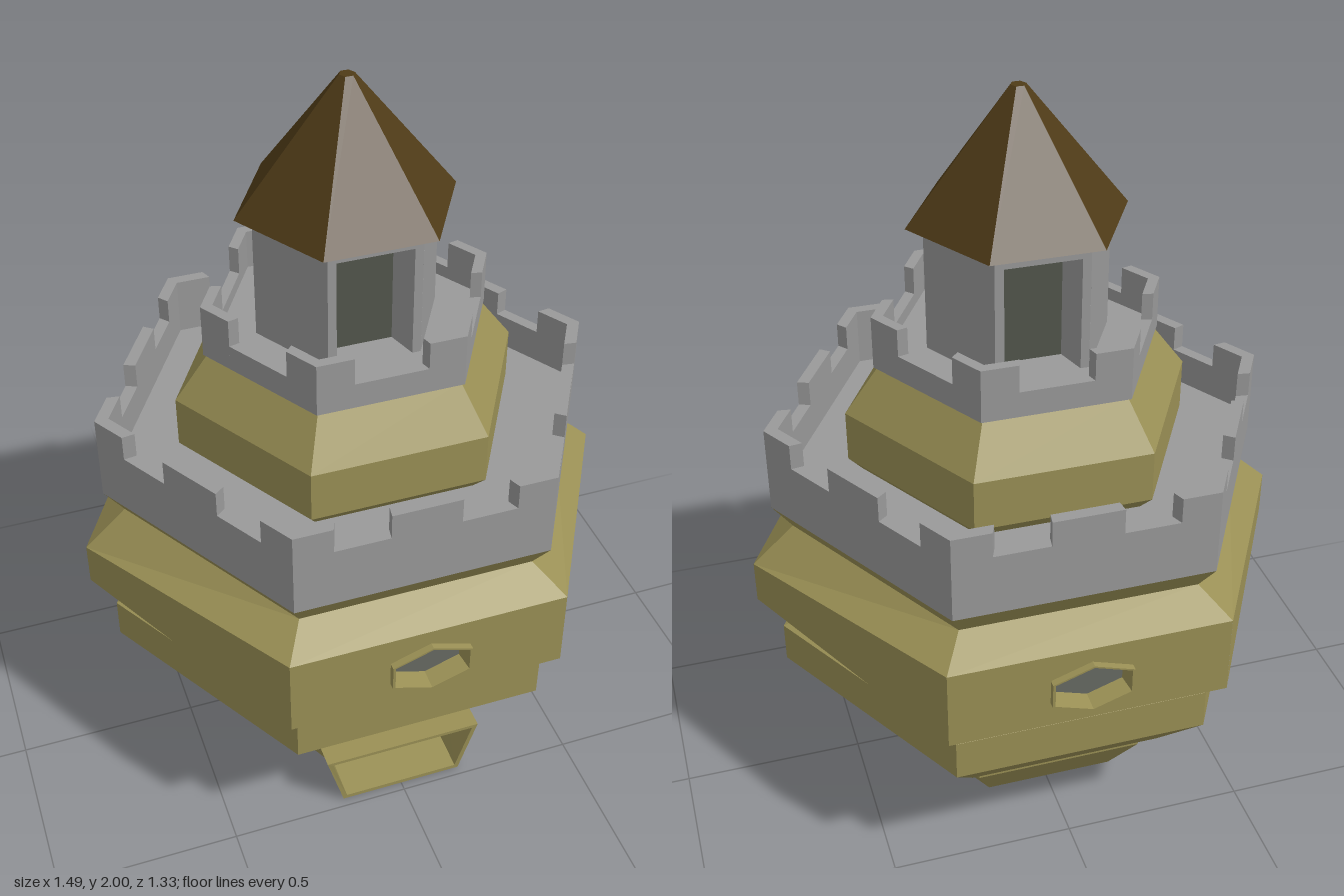
import * as THREE from 'three';
import { mergeGeometries } from 'three/addons/utils/BufferGeometryUtils.js';

const mat = (color) => new THREE.MeshStandardMaterial({ color, flatShading: true });
const STONE = mat(0x999999), OLIVE = mat(0x9a9055), BROWN = mat(0x4f3b17);
const PANEL = mat(0x676a63), DOOR = mat(0x52564c);
const v = (x, y, z) => new THREE.Vector3(x, y, z);

// Hexagon with corners on +-x; the two side corners may sit at another height
function hex(r, y, ySide = y) {
  return Array.from({ length: 6 }, (_, i) => {
    const a = i * Math.PI / 3;
    return v(r * Math.cos(a), i % 3 ? y : ySide, -r * Math.sin(a));
  });
}

// Upright four-sided outline facing +z
function quad(w0, y0, w1, y1, z0, z1 = z0) {
  return [v(-w0, y0, z0), v(w0, y0, z0), v(w1, y1, z1), v(-w1, y1, z1)];
}

// Upright porthole outline, pointed at top and bottom
function port(s, z) {
  return Array.from({ length: 6 }, (_, i) => {
    const a = (i + 0.5) * Math.PI / 3;
    return v(s * Math.cos(a) / 0.866, 0.665 + s * 0.675 * Math.sin(a), z);
  });
}

// Skin through successive outlines, with optional end caps
function loft(loops, { start = false, end = false, closed = true } = {}) {
  const pts = [];
  const fan = (l) => { for (let i = 1; i < l.length - 1; i++) pts.push(l[0], l[i], l[i + 1]); };
  for (let k = 0; k < loops.length - 1; k++) {
    const a = loops[k], b = loops[k + 1], n = a.length;
    for (let i = 0; i < (closed ? n : n - 1); i++) {
      const j = (i + 1) % n;
      pts.push(a[i], a[j], b[j], a[i], b[j], b[i]);
    }
  }
  if (start) fan([loops[0][0], ...loops[0].slice(1).reverse()]);
  if (end) fan(loops[loops.length - 1]);
  const g = new THREE.BufferGeometry().setFromPoints(pts);
  g.computeVertexNormals();
  return g;
}

function add(parent, name, geometry, material) {
  const m = new THREE.Mesh(geometry, material);
  m.name = name;
  parent.add(m);
  return m;
}

// Hexagonal wall with notches; segments are [from, to, top] along each side
function battlement(rOut, rIn, base, segments) {
  const parts = [], outer = hex(rOut, 0), inner = hex(rIn, 0);
  for (let i = 0; i < 6; i++) {
    const j = (i + 1) % 6;
    for (const [u0, u1, top] of segments) {
      const ring = (y) => [
        outer[i].clone().lerp(outer[j], u0), outer[i].clone().lerp(outer[j], u1),
        inner[i].clone().lerp(inner[j], u1), inner[i].clone().lerp(inner[j], u0),
      ].map((p) => p.setY(y));
      parts.push(loft([ring(base), ring(top)], { start: true, end: true }));
    }
  }
  return mergeGeometries(parts);
}

export function createModel() {
  const root = new THREE.Group();
  root.name = 'hexagonalTower';

  // Foot, pulled in at the front and left open there for the chute
  const foot = [hex(0.36, 0.03), hex(0.465, 0.17), hex(0.465, 0.235)];
  [[0.18, 0.005, 0.32], [0.225, 0.175, 0.345], [0.19, 0.235, 0.37]].forEach(([x, y, z], k) => {
    foot[k][4].set(-x, y, z);
    foot[k][5].set(x, y, z);
  });
  const openFront = (l) => [l[5], ...l.slice(0, 5)];
  add(root, 'footBase', loft([foot[0]], { start: true }), OLIVE);
  add(root, 'footSides', loft(foot.slice(0, 2).map(openFront), { closed: false }), OLIVE);
  add(root, 'footCollar', loft(foot.slice(1)), OLIVE);

  // Chute at the front
  const chuteBack = quad(0.165, 0.022, 0.2, 0.165, 0.27);
  add(root, 'chute', loft([
    quad(0.178, 0.003, 0.225, 0.178, 0.3, 0.26),
    quad(0.175, 0, 0.225, 0.178, 0.475, 0.485),
    quad(0.165, 0.012, 0.208, 0.168, 0.475, 0.485),
    chuteBack,
  ]), OLIVE);
  add(root, 'chutePanel', loft([chuteBack], { end: true }), PANEL);

  // Main body below and above its bulging belt
  const beltLow = hex(0.745, 0.555, 0.61), beltHigh = hex(0.745, 0.78, 0.73);
  add(root, 'lowerBody', loft([
    hex(0.36, 0.235), hex(0.53, 0.235), hex(0.682, 0.385), hex(0.682, 0.5), hex(0.645, 0.515), beltLow,
  ]), OLIVE);
  add(root, 'upperBody', loft([beltHigh, hex(0.63, 0.835), hex(0.682, 0.905)]), OLIVE);

  // Lower wall walk
  add(root, 'lowerBattlement', battlement(0.682, 0.645, 0.905, [
    [0, 0.15, 1.145], [0.15, 0.365, 1.075], [0.365, 0.635, 1.145], [0.635, 0.85, 1.075], [0.85, 1, 1.145],
  ]), STONE);
  add(root, 'lowerFloor', loft([hex(0.66, 0.98)], { end: true }), STONE);

  // Upper storey and its wall walk
  add(root, 'upperStorey', loft([
    hex(0.42, 0.97), hex(0.468, 1.02), hex(0.468, 1.16), hex(0.375, 1.285),
  ]), OLIVE);
  add(root, 'upperBattlement', battlement(0.387, 0.355, 1.285, [
    [0, 0.25, 1.43], [0.25, 0.75, 1.355], [0.75, 1, 1.43],
  ]), STONE);
  add(root, 'upperFloor', loft([hex(0.37, 1.32)], { end: true }), STONE);

  // Parts repeated on the front and back
  for (const [side, turn] of [['front', 0], ['back', Math.PI]]) {
    const half = new THREE.Group();
    half.name = side + 'Half';
    half.rotation.y = turn;
    root.add(half);

    // Turret: side walls and a wall with a tapering doorway
    const sideStrip = (h) => [h[5], h[0], h[1]];
    const turretWalls = [hex(0.245, 1.3), hex(0.245, 1.655)].map(sideStrip);
    add(half, 'turretSideWall', loft(turretWalls, { closed: false }), STONE);
    const niche = quad(0.075, 1.3, 0.075, 1.6, 0.13);
    add(half, 'doorway', loft([
      quad(0.1225, 1.3, 0.1225, 1.655, 0.212), quad(0.1, 1.3, 0.1, 1.625, 0.212), niche,
    ]), STONE);
    add(half, 'doorPanel', loft([niche], { end: true }), DOOR);

    // Belt: side walls and a face pierced by the porthole
    add(half, 'beltSideWall', loft([beltLow, beltHigh].map(sideStrip), { closed: false }), OLIVE);
    const face = new THREE.Shape(quad(0.3725, 0.555, 0.3725, 0.78, 0).map((p) => new THREE.Vector2(p.x, p.y)));
    face.holes.push(new THREE.Path(port(0.102, 0).map((p) => new THREE.Vector2(p.x, p.y))));
    add(half, 'beltFace', new THREE.ShapeGeometry(face).translate(0, 0, 0.645), OLIVE);

    // Six-sided porthole
    add(half, 'portholeFrame', loft([
      port(0.108, 0.64), port(0.108, 0.664), port(0.101, 0.664), port(0.094, 0.61),
    ]), OLIVE);
    add(half, 'portholePanel', loft([port(0.094, 0.61)], { end: true }), PANEL);
  }

  // Pointed roof
  add(root, 'eaves', loft([hex(0.245, 1.645), hex(0.29, 1.66)], { start: true }), STONE);
  add(root, 'roof', loft([hex(0.29, 1.66), hex(0.02, 2)], { end: true }), BROWN);
  return root;
}
